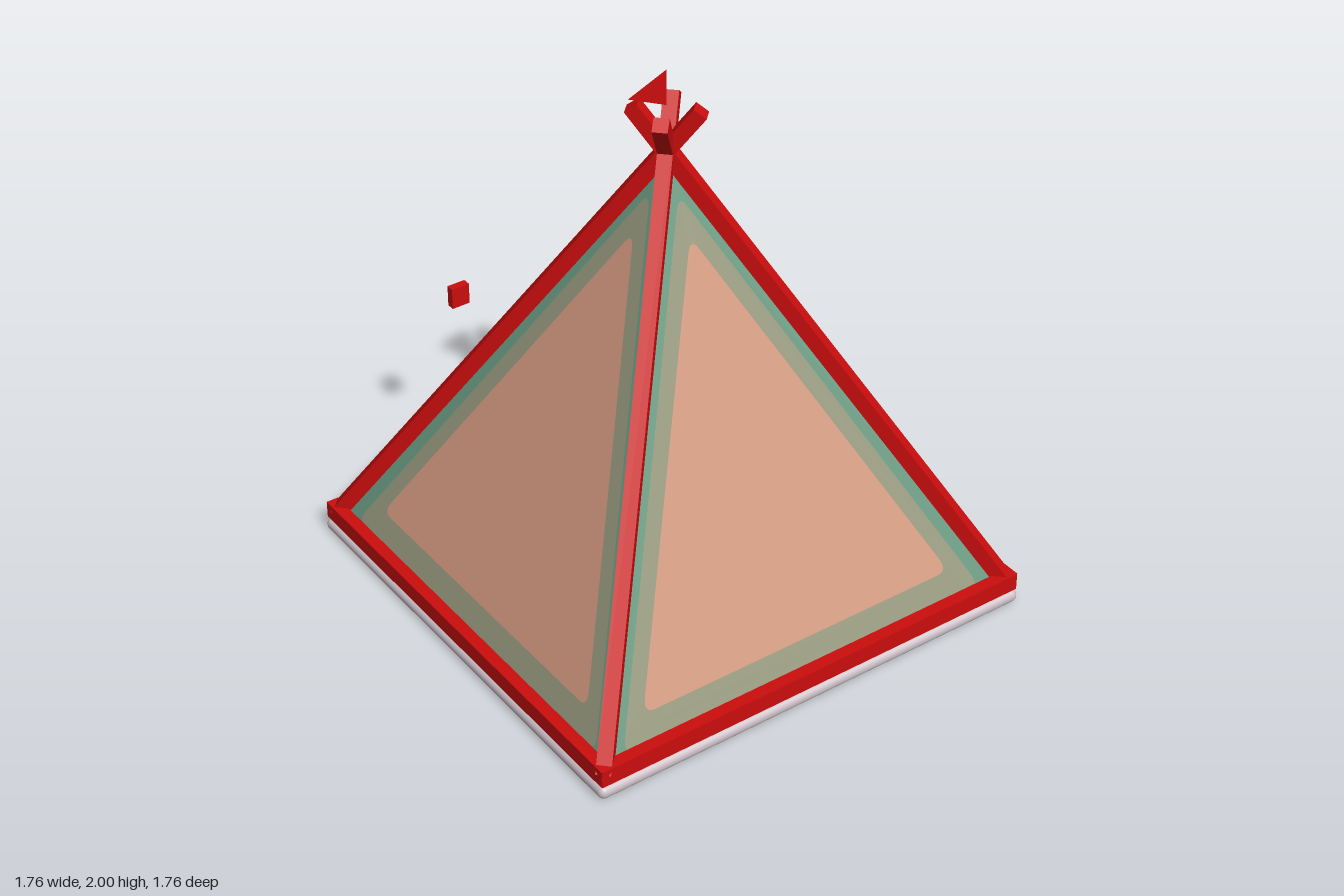
import * as THREE from 'three';
import { RoundedBoxGeometry } from 'three/addons/geometries/RoundedBoxGeometry.js';

const APEX = 1.7, SLOPE = 0.506;

function material(name, color, side = THREE.FrontSide) {
  const m = new THREE.MeshStandardMaterial({ color, side });
  m.name = name;
  return m;
}

// Upright triangle with softened corners; w is the half width of its base
function triangle(w, bottom, top, r, Type = THREE.Shape) {
  const pts = [[-w, bottom], [w, bottom], [0, top]].map(p => new THREE.Vector2(...p));
  const path = new Type();
  pts.forEach((p, i) => {
    const before = pts[(i + 2) % 3], after = pts[(i + 1) % 3];
    const a = p.clone().add(before.clone().sub(p).setLength(r));
    const b = p.clone().add(after.clone().sub(p).setLength(r));
    if (i === 0) path.moveTo(a.x, a.y); else path.lineTo(a.x, a.y);
    path.quadraticCurveTo(p.x, p.y, b.x, b.y);
  });
  path.closePath();
  return path;
}

export function createModel() {
  const group = new THREE.Group();
  const red = material('red frame', 0xcc0d0d, THREE.DoubleSide);
  const tan = material('tan cloth', 0xd0987d, THREE.DoubleSide);
  const olive = material('olive cloth', 0x94967b, THREE.DoubleSide);
  const green = material('green cloth', 0x67987f, THREE.DoubleSide);
  const blue = material('blue floor', 0x98b6be);
  const grey = material('pale mat', 0xcbbfc5);

  function add(name, geometry, mat, x = 0, y = 0, z = 0, parent = group) {
    const mesh = new THREE.Mesh(geometry, mat);
    mesh.name = name;
    mesh.position.set(x, y, z);
    parent.add(mesh);
    return mesh;
  }

  // Floor mat with a coloured top sheet
  add('floorMat', new RoundedBoxGeometry(1.76, 0.05, 1.76, 4, 0.024), grey, 0, 0.025, 0);
  add('floorSheet', new THREE.BoxGeometry(1.72, 0.005, 1.72), blue, 0, 0.051, 0);

  // Base rails: front, both sides, and two short ones beside the doorway
  add('frontRail', new THREE.BoxGeometry(1.74, 0.065, 0.045), red, 0, 0.088, 0.85);
  for (const s of [-1, 1]) {
    add('sideRail', new THREE.BoxGeometry(0.045, 0.065, 1.74), red, s * 0.85, 0.088, 0);
    add('backRail', new THREE.BoxGeometry(0.6, 0.065, 0.045), red, s * 0.57, 0.088, -0.842);
    add('doorToggle', new THREE.BoxGeometry(0.07, 0.08, 0.03), red, s * 0.305, 0.81, -0.838);
  }

  // Four corner poles crossing at the top
  for (const sx of [-1, 1]) for (const sz of [-1, 1]) {
    const foot = new THREE.Vector3(sx * 0.845, 0.08, sz * 0.845);
    const tip = new THREE.Vector3(-sx * 0.08, 1.86, -sz * 0.08);
    const mid = foot.clone().add(tip).multiplyScalar(0.5);
    const pole = add('cornerPole', new THREE.BoxGeometry(0.052, 0.052, foot.distanceTo(tip)), red, mid.x, mid.y, mid.z);
    pole.lookAt(tip);
  }

  // Three cloth walls, each made of nested bands laid onto the slope
  const outer = [0.83, 0.06, APEX, 0.002];
  const middle = [0.75, 0.09, 1.57, 0.05];
  const inner = [0.64, 0.177, 1.44, 0.05];
  const bands = [['wallBorder', green, outer, middle], ['wallBand', olive, middle, inner], ['wallCentre', tan, inner, null]];
  [['frontWall', 0], ['leftWall', Math.PI / 2], ['rightWall', -Math.PI / 2]].forEach(([name, turn]) => {
    const wall = new THREE.Group();
    wall.name = name;
    wall.rotation.y = turn;
    group.add(wall);
    for (const [part, mat, edge, hole] of bands) {
      const shape = triangle(...edge);
      if (hole) shape.holes.push(triangle(...hole, THREE.Path));
      const geometry = new THREE.ShapeGeometry(shape, 6);
      const p = geometry.attributes.position;
      for (let i = 0; i < p.count; i++) p.setZ(i, SLOPE * (APEX - p.getY(i)));
      geometry.computeVertexNormals();
      add(part, geometry, mat, 0, 0, 0, wall);
    }
  });

  // Two door flaps, striped parallel to the poles and flared at the opening
  for (const s of [-1, 1]) {
    const apex = new THREE.Vector3(0, APEX, 0);
    const corner = new THREE.Vector3(s * 0.835, 0.06, -0.835);
    const open = new THREE.Vector3(s * 0.25, 0.06, -0.885);
    const low = t => corner.clone().lerp(open, t);
    const high = t => apex.clone().lerp(open, t);
    const stripes = [['flapBorder', green, 0, 0.31], ['flapBand', olive, 0.31, 0.52], ['flapCentre', tan, 0.52, 1]];
    for (const [name, mat, t0, t1] of stripes) {
      const [a, b, c, d] = [low(t0), low(t1), high(t1), high(t0)];
      const corners = s > 0 ? [a, b, c, a, c, d] : [a, c, b, a, d, c];
      const geometry = new THREE.BufferGeometry().setFromPoints(corners);
      geometry.computeVertexNormals();
      add(name, geometry, mat);
    }
  }

  // Pennant above the crossing
  const pennant = new THREE.Shape([[0, 1.87], [0, 2], [-0.15, 1.94]].map(p => new THREE.Vector2(...p)));
  add('pennant', new THREE.ShapeGeometry(pennant), red);

  return group;
}
